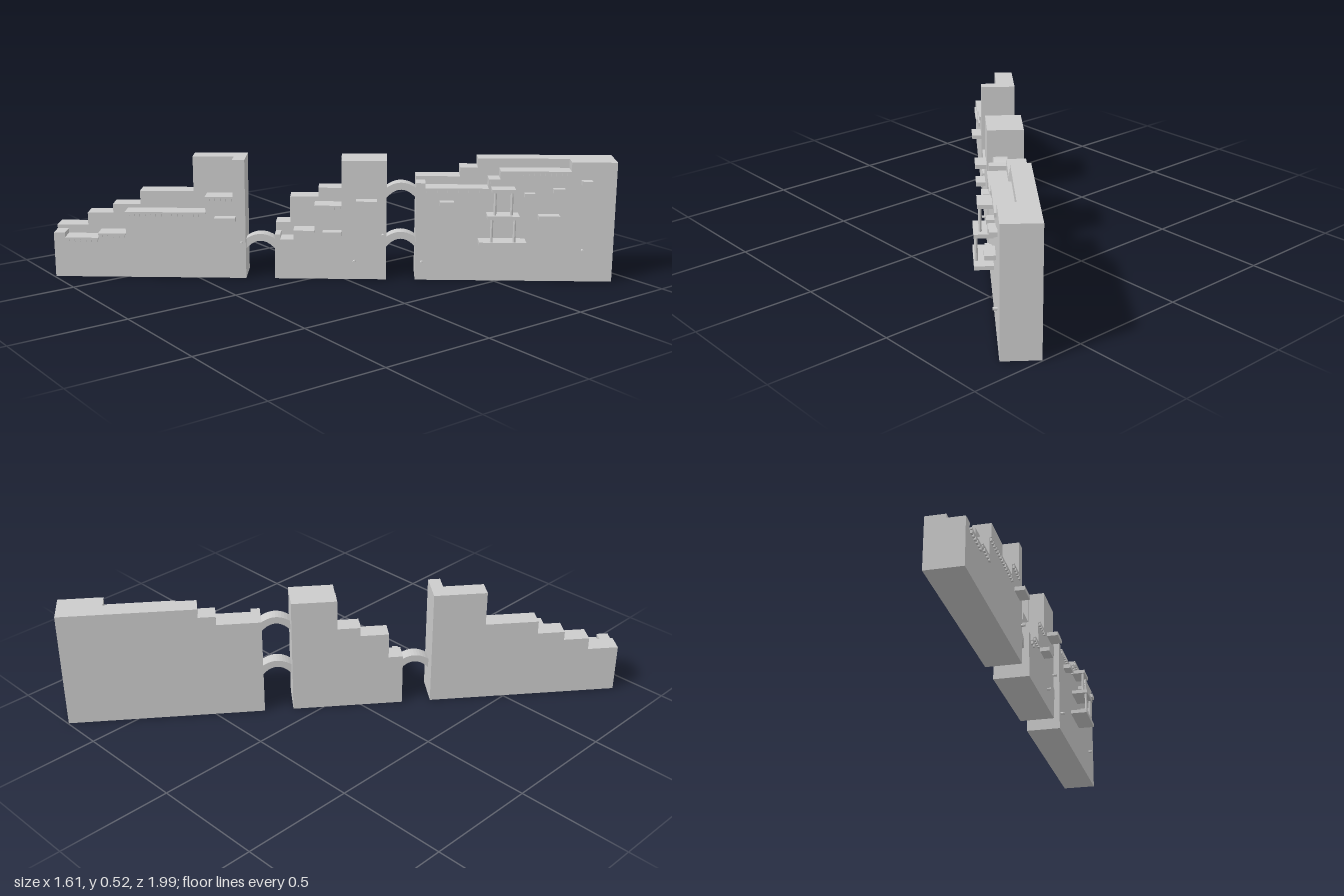
import * as THREE from 'three';

const mat = new THREE.MeshStandardMaterial({ color: 0xcccccc, flatShading: true });
const BACK = -0.079, MID = 0.002, FRONT = 0.073;

// Each section: start, end, back wall steps and front walkway steps as [start, height]
const sections = [
  {
    name: 'leftSection', end: -0.372,
    back: [[-1.207, 0.215], [-1.071, 0.27], [-0.958, 0.31], [-0.837, 0.37], [-0.603, 0.525]],
    walk: [[-1.207, 0.198], [-1.158, 0.178], [-1.013, 0.198], [-0.892, 0.295], [-0.544, 0.365], [-0.425, 0.525]],
  },
  {
    name: 'middleSection', end: 0.235,
    back: [[-0.246, 0.235], [-0.183, 0.35], [-0.06, 0.39], [0.04, 0.525]],
    walk: [[-0.246, 0.198], [-0.222, 0.178], [-0.165, 0.218], [-0.075, 0.33], [0.042, 0.525]],
  },
  {
    name: 'rightSection', end: 1.207,
    back: [[0.36, 0.445], [0.55, 0.485], [0.625, 0.525]],
    walk: [[0.36, 0.43], [0.4, 0.41], [0.667, 0.45], [0.716, 0.486], [1.015, 0.525]],
  },
];

function box(parent, name, w, h, d, x, y, z) {
  const m = new THREE.Mesh(new THREE.BoxGeometry(w, h, d), mat);
  m.name = name;
  m.position.set(x, y, z);
  parent.add(m);
  return m;
}

// Stepped profile extruded through part of the wall thickness
function steppedWall(name, steps, end, z0, z1) {
  const s = new THREE.Shape();
  s.moveTo(steps[0][0], 0);
  steps.forEach(([x, h], i) => {
    s.lineTo(x, h);
    s.lineTo(i + 1 < steps.length ? steps[i + 1][0] : end, h);
  });
  s.lineTo(end, 0);
  const g = new THREE.ExtrudeGeometry(s, { depth: z1 - z0, bevelEnabled: false });
  g.translate(0, 0, z0);
  const m = new THREE.Mesh(g, mat);
  m.name = name;
  return m;
}

// Thin lip with a row of hanging teeth along a walkway edge
function cornice(parent, x0, x1, top) {
  const out = 0.008, n = Math.max(2, Math.round((x1 - x0) / 0.023)), pitch = (x1 - x0) / n;
  box(parent, 'corniceLip', x1 - x0, 0.008, out, (x0 + x1) / 2, top - 0.004, FRONT + out / 2);
  for (let i = 0; i < n; i++)
    box(parent, 'corniceTooth', pitch * 0.55, 0.012, out, x0 + (i + 0.5) * pitch, top - 0.014, FRONT + out / 2);
}

// Small arched footbridge between two sections
function bridge(x0, x1, y) {
  const s = new THREE.Shape(), c = (x0 + x1) / 2;
  s.moveTo(x0, y);
  s.quadraticCurveTo(c, y + 0.075, x1, y);
  s.lineTo(x1, y + 0.045);
  s.quadraticCurveTo(c, y + 0.092, x0, y + 0.045);
  const g = new THREE.ExtrudeGeometry(s, { depth: 0.058, bevelEnabled: false, curveSegments: 10 });
  g.translate(0, 0, -0.008);
  const m = new THREE.Mesh(g, mat);
  m.name = 'archedBridge';
  return m;
}

export function createModel() {
  const root = new THREE.Group();
  root.name = 'steppedWall';
  const wall = new THREE.Group();
  wall.name = 'diagonalWall';
  wall.rotation.y = THREE.MathUtils.degToRad(51.75);
  root.add(wall);

  // Wall sections with walkway and cornice
  for (const { name, end, back, walk } of sections) {
    const g = new THREE.Group();
    g.name = name;
    g.add(steppedWall('backWall', back, end, BACK, MID));
    g.add(steppedWall('frontWalkway', walk, end, MID, FRONT));
    for (let i = 1; i < walk.length - 1; i++) cornice(g, walk[i][0], walk[i + 1][0], walk[i][1]);
    wall.add(g);
  }

  // Bridges
  wall.add(bridge(-0.374, -0.244, 0.125), bridge(0.233, 0.362, 0.14), bridge(0.233, 0.362, 0.358));

  // Ledges on the front face: x, y, width, depth
  const ledges = [
    [-0.457, 0.27, 0.09, 0.042], [0.002, 0.212, 0.08, 0.04], [0.149, 0.35, 0.09, 0.048],
    [0.49, 0.347, 0.06, 0.035], [0.924, 0.29, 0.09, 0.042], [0.84, 0.385, 0.045, 0.03],
    [0.964, 0.405, 0.05, 0.03], [1.08, 0.44, 0.045, 0.03],
  ];
  for (const [x, y, w, d] of ledges) box(wall, 'ledge', w, 0.018, d, x, y, FRONT + d / 2);

  // Three-tier balcony on posts
  const balcony = new THREE.Group();
  balcony.name = 'tieredBalcony';
  wall.add(balcony);
  for (const [y, w, d] of [[0.183, 0.2, 0.075], [0.298, 0.135, 0.075], [0.41, 0.1, 0.06]])
    box(balcony, 'balconySlab', w, 0.016, d, 0.727, y, FRONT + d / 2);
  for (const [y0, y1, dx, z] of [[0.19, 0.291, 0.048, 0.138], [0.305, 0.403, 0.035, 0.122]])
    for (const side of [-1, 1]) {
      const post = new THREE.Mesh(new THREE.CylinderGeometry(0.006, 0.006, y1 - y0, 8), mat);
      post.name = 'balconyPost';
      post.position.set(0.727 + side * dx, (y0 + y1) / 2, z);
      balcony.add(post);
    }

  // Small pegs
  for (const [x, y] of [[-0.39, 0.16], [0.097, 0.082], [0.22, 0.2], [0.388, 0.082], [1.075, 0.14]]) {
    const peg = new THREE.Mesh(new THREE.CylinderGeometry(0.006, 0.006, 0.02, 8), mat);
    peg.name = 'peg';
    peg.rotation.x = Math.PI / 2;
    peg.position.set(x, y, FRONT + 0.008);
    wall.add(peg);
  }
  return root;
}
